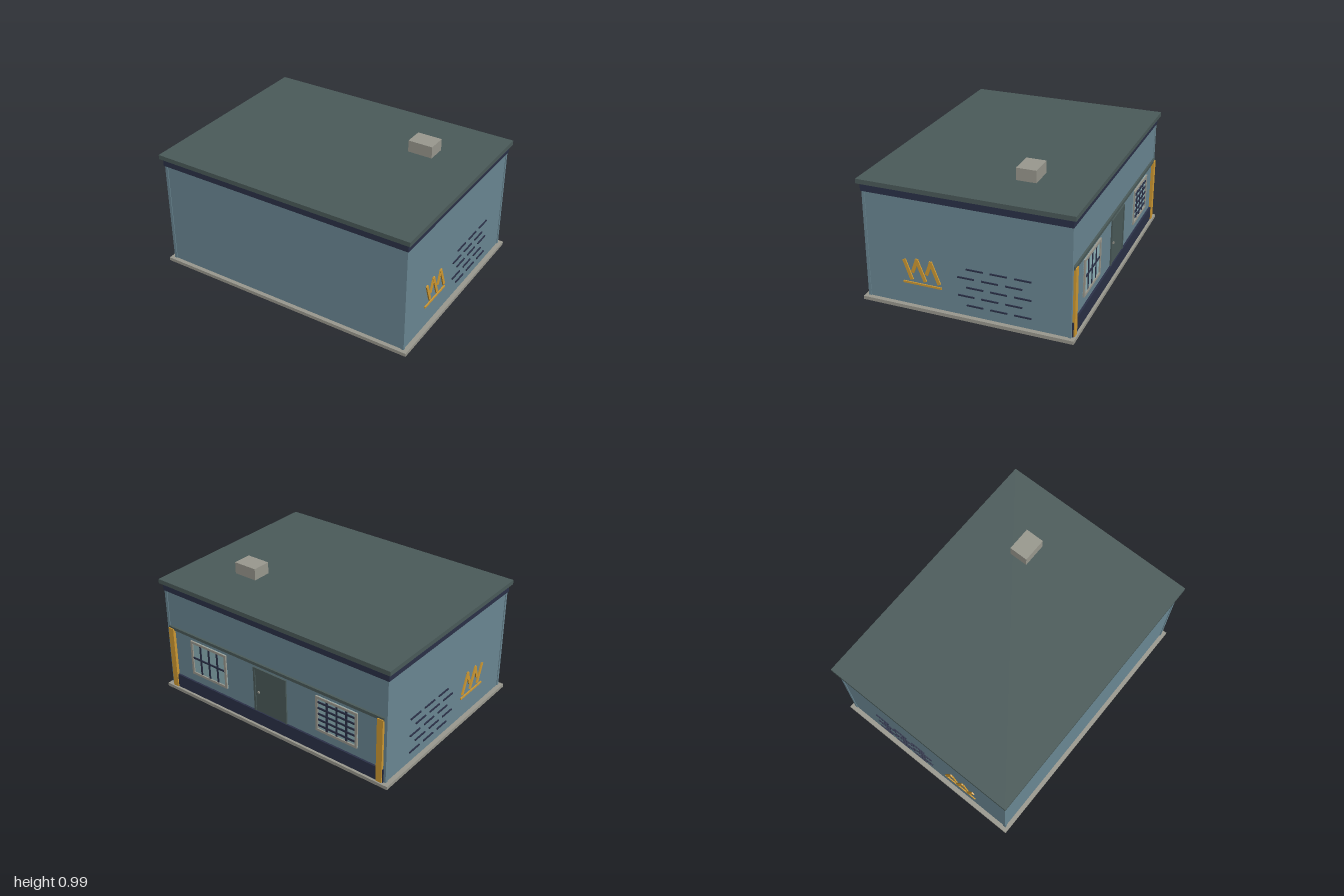
import * as THREE from 'three';

const mat = (name, color) => {
  const m = new THREE.MeshStandardMaterial({ color });
  m.name = name;
  return m;
};

export function createModel() {
  const wall = mat('wall blue', 0x6b8894);
  const roof = mat('roof green', 0x4b5b5a);
  const navy = mat('navy', 0x2b3148);
  const ochre = mat('ochre', 0xd09a33);
  const stone = mat('stone grey', 0x9a998f);
  const glass = mat('pale glass', 0x8fb5bb);

  const model = new THREE.Group();
  model.name = 'building';

  // Box given by its minimum and maximum corners
  const box = (name, m, [x0, x1], [y0, y1], [z0, z1], parent = model) => {
    const mesh = new THREE.Mesh(new THREE.BoxGeometry(x1 - x0, y1 - y0, z1 - z0), m);
    mesh.position.set((x0 + x1) / 2, (y0 + y1) / 2, (z0 + z1) / 2);
    mesh.name = name;
    parent.add(mesh);
    return mesh;
  };
  const group = (name) => {
    const g = new THREE.Group();
    g.name = name;
    model.add(g);
    return g;
  };

  // Main shell, stacked from the ground up
  box('foundation', stone, [-1, 1], [0, 0.025], [-0.76, 0.76]);
  box('walls', wall, [-0.966, 0.966], [0.025, 0.865], [-0.728, 0.73]);
  box('corniceBand', navy, [-0.977, 0.977], [0.808, 0.855], [-0.737, 0.741]);
  box('roofSlab', roof, [-0.996, 0.996], [0.865, 0.898], [-0.757, 0.76]);
  box('roofVent', stone, [0.44, 0.625], [0.898, 0.985], [-0.357, -0.215]);
  box('eaveStrip', ochre, [-0.97, 0.97], [0.856, 0.865], [-0.745, -0.728]);

  // Corner posts
  for (const sx of [-1, 1]) for (const sz of [-1, 1]) {
    const post = box('cornerPost', wall, [-0.011, 0.011], [0.025, 0.808], [-0.01, 0.01]);
    post.position.x = sx * 0.96;
    post.position.z = sz > 0 ? 0.725 : -0.723;
  }

  // Entrance side: plinth, ledge and pillars
  box('plinth', navy, [-0.955, 0.955], [0.025, 0.13], [-0.742, -0.727]);
  box('ledge', roof, [-0.95, 0.95], [0.507, 0.53], [-0.743, -0.727]);
  for (const s of [-1, 1]) {
    const pillar = box('pillar', ochre, [-0.023, 0.023], [0.025, 0.517], [-0.75, -0.727]);
    pillar.position.x = s * 0.925;
  }

  // Door with a raised frame and a handle
  const door = group('door');
  box('doorLeaf', roof, [-0.13, 0.13], [0.13, 0.47], [-0.733, -0.727], door);
  for (const s of [-1, 1]) box('doorJamb', roof, [s * 0.138 - 0.008, s * 0.138 + 0.008], [0.13, 0.485], [-0.739, -0.727], door);
  box('doorLintel', roof, [-0.146, 0.146], [0.47, 0.485], [-0.739, -0.727], door);
  box('doorHandle', stone, [0.095, 0.108], [0.285, 0.3], [-0.741, -0.732], door);

  // Windows: glass, frame and dark bars
  const addWindow = (cx, rows) => {
    const g = group('window');
    const w = 0.17, y0 = 0.2, y1 = 0.475, t = 0.018;
    box('glass', glass, [cx - w, cx + w], [y0, y1], [-0.732, -0.727], g);
    for (const s of [-1, 1]) {
      const x = cx + s * (w - t / 2);
      box('frameSide', stone, [x - t / 2, x + t / 2], [y0, y1], [-0.741, -0.727], g);
    }
    for (const y of [y0, y1 - t]) box('frameRail', stone, [cx - w, cx + w], [y, y + t], [-0.741, -0.727], g);
    for (const i of [-1, 0, 1]) {
      const x = cx + i * 0.08;
      box('uprightBar', navy, [x - 0.008, x + 0.008], [y0 + t, y1 - t], [-0.736, -0.731], g);
    }
    for (let i = 1; i <= rows; i++) {
      const y = y0 + (y1 - y0) * i / (rows + 1);
      box('crossBar', navy, [cx - w + t, cx + w - t], [y - 0.007, y + 0.007], [-0.738, -0.731], g);
    }
  };
  addWindow(0.572, 1);
  addWindow(-0.572, 5);

  // Side walls: staggered slots and a zigzag ornament, mirrored
  const strokes = [
    [0.443, 0.355, 0.393, 0.222], [0.384, 0.275, 0.35, 0.37], [0.353, 0.37, 0.294, 0.222],
    [0.282, 0.275, 0.248, 0.37], [0.25, 0.37, 0.192, 0.222],
  ];
  for (const s of [-1, 1]) {
    const g = group('sideDecoration');
    const plate = (name, m, z, y, len, height, angle = 0, out = 0) => {
      const mesh = new THREE.Mesh(new THREE.BoxGeometry(0.009, height, len), m);
      mesh.position.set(s * (0.9695 + out), y, z);
      mesh.rotation.x = angle;
      mesh.name = name;
      g.add(mesh);
    };
    for (let row = 0; row < 5; row++) for (let i = 0; i < 3; i++) {
      plate('wallSlot', navy, (row % 2 ? -0.003 : -0.066) - i * 0.168, 0.373 - row * 0.067, 0.118, 0.01);
    }
    strokes.forEach(([z0, y0, z1, y1], i) => {
      const len = Math.hypot(z1 - z0, y1 - y0) + 0.01;
      plate('zigzagBar', ochre, (z0 + z1) / 2, (y0 + y1) / 2, len, 0.024, -Math.atan2(y1 - y0, z1 - z0), i % 2 ? 0 : 0.002);
    });
    plate('zigzagBase', ochre, 0.316, 0.19, 0.284, 0.014);
  }

  return model;
}
